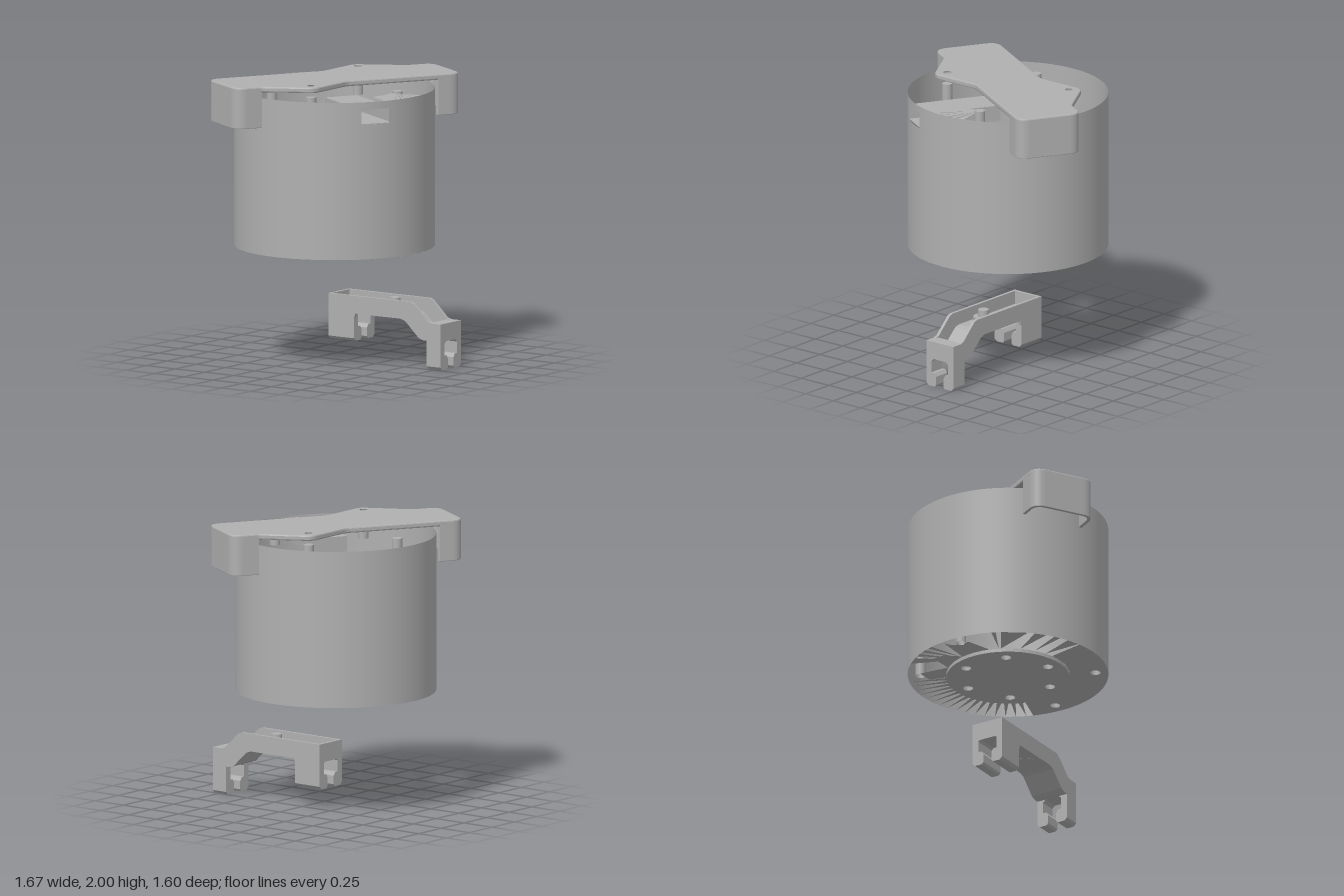
import * as THREE from 'three';

const DEG = Math.PI / 180;
const R = 0.7, BOSS = 0.43;

export function createModel() {
  const root = new THREE.Group();
  const grey = new THREE.MeshStandardMaterial({ color: 0xb0b0b0, side: THREE.DoubleSide });
  grey.name = 'plain grey';

  const add = (parent, name, geo, x = 0, y = 0, z = 0) => {
    const m = new THREE.Mesh(geo, grey);
    m.name = name;
    m.position.set(x, y, z);
    parent.add(m);
    return m;
  };
  const box = (parent, name, x0, x1, y0, y1, z0, z1) => add(parent, name,
    new THREE.BoxGeometry(x1 - x0, y1 - y0, z1 - z0), (x0 + x1) / 2, (y0 + y1) / 2, (z0 + z1) / 2);
  const polar = (deg, r) => [r * Math.cos(deg * DEG), r * Math.sin(deg * DEG)];
  const polygon = (pts) => new THREE.Shape(pts.map(([x, y]) => new THREE.Vector2(x, y)));
  // polygon whose corners [x, y, cut] are rounded off
  const rounded = (pts) => {
    const s = new THREE.Shape(), n = pts.length;
    pts.forEach(([x, y, cut = 0], i) => {
      const toward = ([px, py]) => {
        const l = Math.hypot(px - x, py - y);
        return [x + (px - x) * cut / l, y + (py - y) * cut / l];
      };
      const a = toward(pts[(i + n - 1) % n]), b = toward(pts[(i + 1) % n]);
      if (i === 0) s.moveTo(...a); else s.lineTo(...a);
      if (cut) s.quadraticCurveTo(x, y, ...b);
    });
    s.closePath();
    return s;
  };
  const punch = (shape, deg, r, radius) => {
    const h = new THREE.Path();
    h.absarc(...polar(deg, r), radius, 0, Math.PI * 2, true);
    shape.holes.push(h);
  };
  // plan shapes (x, z): slabs hang down from y = 0, sheets are flat
  const slab = (shape, depth, bevel = 0) => new THREE.ExtrudeGeometry(shape, {
    depth: depth - 2 * bevel, bevelEnabled: bevel > 0, bevelSize: bevel, bevelOffset: -bevel,
    bevelThickness: bevel, bevelSegments: 2, curveSegments: 24,
  }).rotateX(Math.PI / 2).translate(0, -bevel, 0);
  const sheet = (shapes) => new THREE.ShapeGeometry(shapes, 40).rotateX(Math.PI / 2);

  // ---- drum, centred on its own axis
  const drum = new THREE.Group();
  drum.name = 'drum';
  drum.position.z = -0.1;
  root.add(drum);

  const Y0 = 0.81, Y1 = 1.92, W0 = 1.76, W1 = 1.87;
  const a0 = Math.asin(-0.44 / R), a1 = Math.asin(-0.26 / R);
  const wall = (name, y0, y1, start, len, seg) => add(drum, name,
    new THREE.CylinderGeometry(R, R, y1 - y0, seg, 1, true, start, len), 0, (y0 + y1) / 2, 0);
  wall('drumWall', Y0, Y1, a1, Math.PI * 2 - (a1 - a0), 90);
  wall('wallBelowWindow', Y0, W0, a0, a1 - a0, 6);
  wall('wallAboveWindow', W1, Y1, a0, a1 - a0, 6);

  // round boss under the floor, with six holes
  const boss = new THREE.Shape().absarc(0, 0, BOSS, 0, Math.PI * 2, false);
  for (let i = 0; i < 6; i++) punch(boss, i * 60, 0.33, 0.036);
  add(drum, 'boss', slab(boss, 0.025), 0, Y0, 0);

  // solid part of the floor
  const floor = new THREE.Shape();
  floor.absarc(0, 0, R, 72 * DEG, 192 * DEG, false);
  floor.absarc(0, 0, BOSS, 192 * DEG, 72 * DEG, true);
  punch(floor, 90, 0.61, 0.036);
  punch(floor, 150, 0.61, 0.036);
  add(drum, 'floor', sheet(floor), 0, Y0, 0);

  // splintered part of the floor: [inner angle, rim angle, rim angle]
  const splinters = [[244, 226, 241.5], [246, 244.5, 247], [286, 287, 290], [288, 293, 296],
    [290, 299, 302], [294, 305, 313], [200, 193, 201], [212, 206, 210], [226, 215, 222]]
    .map(([a, b, c]) => polygon([polar(a, BOSS), polar(b, R), polar(c, R)]));
  // spikes standing on the boss and pointing at the rim
  for (let a = 338; a <= 428; a += 6)
    splinters.push(polygon([polar(a - 2.5, BOSS), polar(a, R), polar(a + 2.5, BOSS)]));
  splinters.push(polygon([polar(255, BOSS), [-0.06, -0.6], [-0.03, -0.6], [0, -0.575], [0.03, -0.6],
    [0.07, -0.62], [0.1, -0.67], polar(285, BOSS)]));
  splinters.push(polygon([polar(284, BOSS), polar(293, 0.55), polar(301, 0.58), polar(313, BOSS)]));
  splinters.push(polygon([polar(312, BOSS), [0.51, -0.34], [0.51, -0.22], polar(334, BOSS)]));
  add(drum, 'floorSplinters', sheet(splinters), 0, Y0, 0);

  // blind screw sleeves in the floor
  for (const a of [90, 150, 270, 330]) {
    const [x, z] = polar(a, 0.61);
    add(drum, 'floorSleeve', new THREE.CylinderGeometry(0.036, 0.036, 0.13, 20, 1, true), x, Y0 + 0.065, z);
    add(drum, 'sleeveCap', new THREE.CircleGeometry(0.036, 20).rotateX(-Math.PI / 2), x, Y0 + 0.13, z);
  }
  // pegs below the rim
  for (const a of [75, 165, 255, 345]) {
    const [x, z] = polar(a, 0.467);
    add(drum, 'rimPeg', new THREE.CylinderGeometry(0.036, 0.036, 0.12, 20), x, 1.86, z);
  }

  // cable channel behind the window
  const channel = new THREE.Group();
  channel.name = 'cableChannel';
  channel.rotation.y = -30 * DEG;
  drum.add(channel);
  box(channel, 'channelTop', -0.12, 0.125, W1 - 0.005, W1, 0.1, 0.69);
  box(channel, 'channelFloor', -0.12, 0.125, W0, W0 + 0.005, 0.1, 0.69);
  for (const x of [-0.12, 0.12]) box(channel, 'channelSide', x, x + 0.005, W0, W1, 0.1, 0.688);
  box(channel, 'channelEnd', -0.12, 0.125, W0, W1, 0.1, 0.105);

  // splintered piece of the upper ring
  const fan = [[120, 108], [106.5, 102], [101, 97], [96, 91], [89, 85], [83, 78]].map(([b, c]) =>
    polygon([[0.1, 0.46], polar(c, R), polar((b + c) / 2, R), polar(b, R)]));
  fan.push(polygon([polar(107, BOSS), polar(110, R), [0.1, 0.46], polar(76, BOSS), polar(91, BOSS)]));
  fan.push(polygon([polar(107, BOSS), polar(110, R), polar(109, R), [0, 0.5]]));
  add(drum, 'upperRingPiece', sheet(fan), 0, 1.905, 0);

  // ---- cover across the top; each half is the other turned by 180 degrees
  const half = [[-0.13, 0.2, 0.03], [0.63, 0.64, 0.09], [0.863, 0.23, 0.09], [0.69, 0.13, 0.02],
    [0.505, -0.2, 0.05]];
  const outline = rounded([...half, ...half.map(([x, z, c]) => [-x, -z, c])]);
  for (const a of [165, 345]) punch(outline, a, 0.467, 0.038);
  const cover = new THREE.Group();
  cover.name = 'cover';
  cover.position.z = -0.1;
  root.add(cover);
  add(cover, 'coverPlate', slab(outline, 0.04, 0.01), 0, 2, 0);
  const skirt = rounded([[0.475, 0.55], [0.63, 0.64, 0.09], [0.863, 0.23, 0.09], [0.69, 0.13],
    [0.685, 0.155], [0.835, 0.242, 0.07], [0.62, 0.61, 0.07], [0.48, 0.527]]);
  for (const turn of [0, Math.PI])
    add(cover, 'coverSkirt', slab(skirt, 0.27, 0.004), 0, 1.98, 0).rotation.y = turn;

  // ---- clip bracket below the drum
  const bracket = new THREE.Group();
  bracket.name = 'bracket';
  root.add(bracket);
  const X0 = 0.01, X1 = 0.255, XM = 0.1325;
  // side profiles (z, y) extruded along x
  const profile = (name, pts, x0, x1) => add(bracket, name,
    new THREE.ExtrudeGeometry(polygon(pts), { depth: x1 - x0, bevelEnabled: false })
      .rotateY(-Math.PI / 2).scale(1, 1, 1).translate(x1, 0, 0));
  const side = [[0.8, 0.2], [0.8, 0.325], [0.72, 0.325], [0.69, 0.335], [0.57, 0.45], [0.54, 0.46],
    [-0.16, 0.46], [-0.16, 0.3], [0.06, 0.3], [0.07, 0.335], [0.46, 0.335], [0.5, 0.32],
    [0.61, 0.215], [0.65, 0.2]];
  profile('bracketSide', side, X0, X0 + 0.022);
  profile('bracketSide', side, X1 - 0.022, X1);
  profile('bracketFloor', [[0.8, 0.2], [0.8, 0.325], [0.7, 0.325], [0.68, 0.25], [0.64, 0.235],
    [0.51, 0.355], [0.47, 0.365], [-0.16, 0.365], [-0.16, 0.335], [0.46, 0.335], [0.5, 0.32],
    [0.61, 0.215], [0.65, 0.2]], X0 + 0.02, X1 - 0.02);
  box(bracket, 'bracketBackWall', X0 + 0.02, X1 - 0.02, 0.33, 0.46, -0.16, -0.138);

  // legs with a clip slot that opens downward
  const leg = (name, y0, y1, z0, z1) => {
    const right = [[0.1225, y1], [0.1225, y0 + 0.02], [0.1025, y0], [0.045, y0], [0.033, y0 + 0.015],
      [0.033, y0 + 0.075], [0.05, y0 + 0.1], [0.075, y0 + 0.1], [0.075, y0 + 0.18], [0.055, y0 + 0.2]];
    const s = polygon([...right, ...right.slice().reverse().map(([x, y]) => [-x, y])]);
    add(bracket, name, new THREE.ExtrudeGeometry(s, { depth: z1 - z0, bevelEnabled: false }), XM, 0, z0);
  };
  leg('frontLeg', 0, 0.22, 0.68, 0.8);
  leg('backLeg', 0.14, 0.365, -0.16, 0.06);

  // hollow stepped peg in the trough
  const peg = [[0.05, 0.333], [0.072, 0.333], [0.072, 0.41], [0.038, 0.41], [0.038, 0.46], [0, 0.46]];
  add(bracket, 'bracketPeg', new THREE.LatheGeometry(
    peg.flatMap((p) => [new THREE.Vector2(...p), new THREE.Vector2(...p)]), 28), XM, 0, 0.325);
  add(bracket, 'pegBore', new THREE.CircleGeometry(0.05, 24).rotateX(Math.PI / 2), XM, 0.332, 0.325);

  return root;
}
